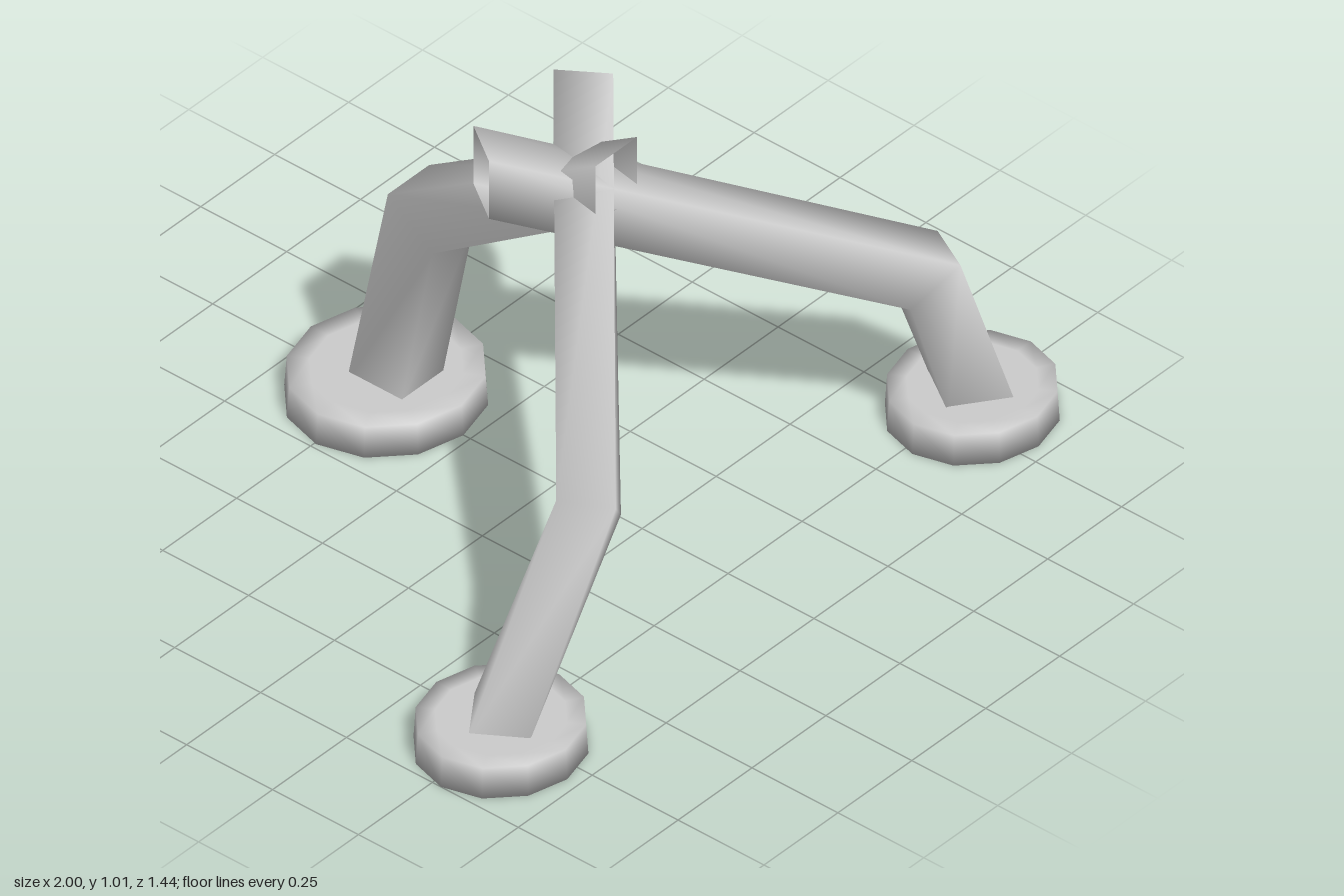
import * as THREE from 'three';

const material = new THREE.MeshStandardMaterial({ color: 0xcccccc, side: THREE.DoubleSide });

// Skins four-cornered rings into an open, smooth-shaded tube
function loft(rings) {
  const index = [];
  for (let i = 0; i < rings.length - 1; i++) {
    for (let j = 0; j < 4; j++) {
      const a = i * 4 + j, b = i * 4 + (j + 1) % 4;
      index.push(a, b, b + 4, a, b + 4, a + 4);
    }
  }
  const geometry = new THREE.BufferGeometry();
  geometry.setAttribute('position', new THREE.Float32BufferAttribute(rings.flat(2), 3));
  geometry.setIndex(index);
  geometry.computeVertexNormals();
  return geometry;
}

// Mirrors a ring across x = 0 and keeps its winding
const mirrorRing = (ring) => [1, 0, 3, 2].map((k) => [-ring[k][0], ring[k][1], ring[k][2]]);

// Twelve-sided pad with a slight taper
function makeFoot(x, z, rx, rz) {
  const profile = [[0, 0], [1, 0], [0.975, 0.08], [0.75, 0.08], [0, 0.08]];
  const geometry = new THREE.LatheGeometry(profile.map((p) => new THREE.Vector2(...p)), 12);
  const foot = new THREE.Mesh(geometry, material);
  foot.scale.set(rx, 1, rz);
  foot.position.set(x, 0, z);
  return foot;
}

export function createModel() {
  const group = new THREE.Group();
  const add = (mesh, name) => {
    mesh.name = name;
    group.add(mesh);
  };

  // Back leg: upper end, knee and ankle, each [y, z] outside then inside
  const backRings = [
    [[1.01, 0.175], [0.85, 0.175]],
    [[0.63, -0.43], [0.53, -0.3]],
    [[0.05, -0.55], [0.05, -0.395]],
  ].map(([o, i]) => [[-0.07, ...o], [0.07, ...o], [0.07, ...i], [-0.07, ...i]]);
  add(new THREE.Mesh(loft(backRings), material), 'backLeg');
  add(makeFoot(0, -0.495, 0.237, 0.225), 'backFoot');

  // Front legs: built on the left, mirrored to the right
  const leftRings = [
    [[-0.135, 1.01, -0.125], [-0.21, 1.01, -0.015], [-0.21, 0.85, -0.015], [-0.135, 0.85, -0.125]],
    [[0.645, 0.605, 0.555], [0.583, 0.605, 0.675], [0.49, 0.503, 0.61], [0.552, 0.503, 0.49]],
    [[0.905, 0.05, 0.51], [0.83, 0.05, 0.625], [0.705, 0.05, 0.535], [0.78, 0.05, 0.42]],
  ];
  add(new THREE.Mesh(loft(leftRings), material), 'frontLeftLeg');
  add(new THREE.Mesh(loft(leftRings.map(mirrorRing)), material), 'frontRightLeg');
  add(makeFoot(0.797, 0.525, 0.203, 0.193), 'frontLeftFoot');
  add(makeFoot(-0.797, 0.525, 0.203, 0.193), 'frontRightFoot');

  return group;
}
